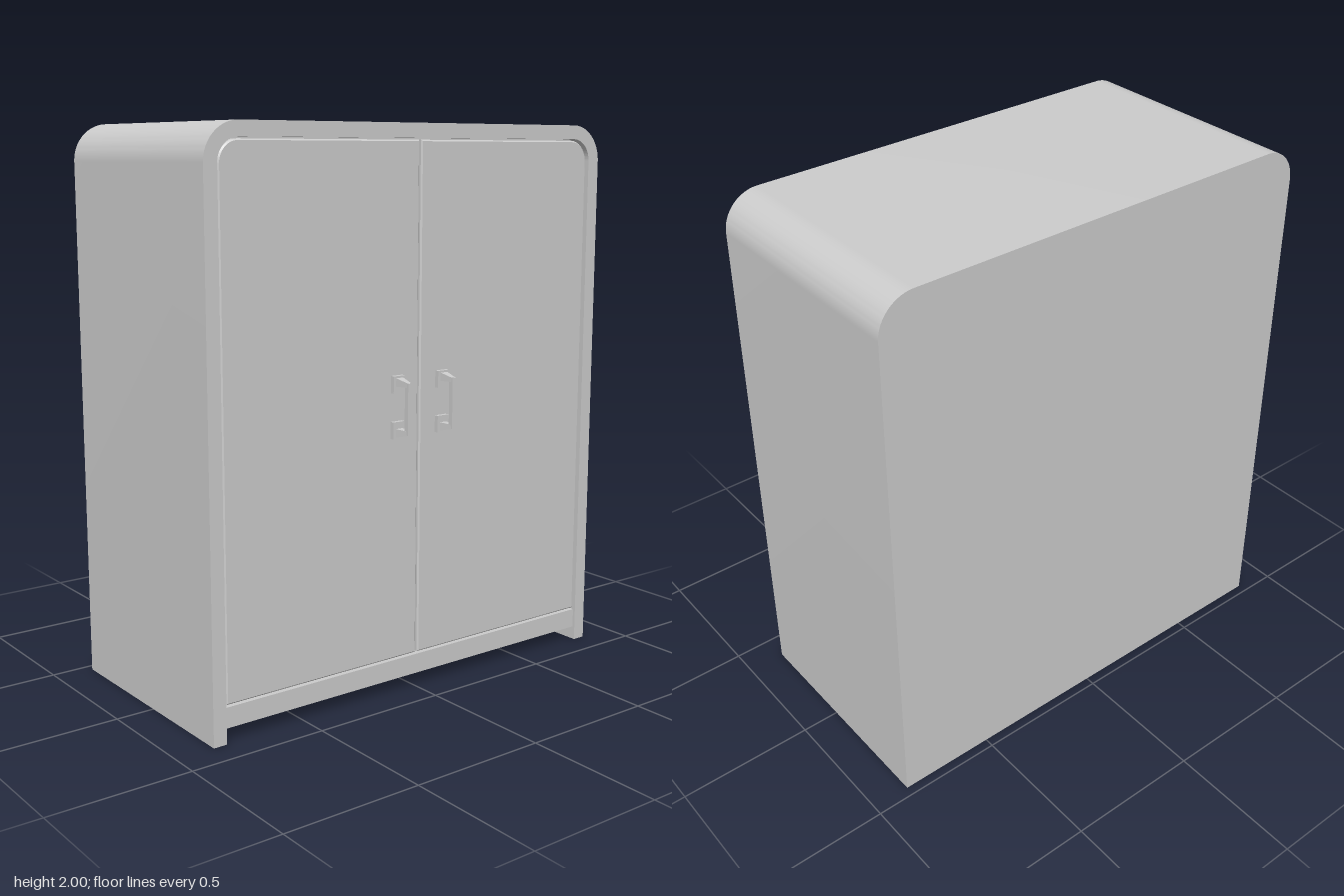
import * as THREE from 'three';
import { toCreasedNormals } from 'three/addons/utils/BufferGeometryUtils.js';

const material = new THREE.MeshStandardMaterial({ color: 0xcccccc });
const BACK = -0.465, FRONT = 0.4;

function add(parent, name, geometry) {
  const mesh = new THREE.Mesh(geometry, material);
  mesh.name = name;
  parent.add(mesh);
  return mesh;
}

// Box given by its limits on each axis
function box(parent, name, x0, x1, y0, y1, z0, z1) {
  const mesh = add(parent, name, new THREE.BoxGeometry(x1 - x0, y1 - y0, z1 - z0));
  mesh.position.set((x0 + x1) / 2, (y0 + y1) / 2, (z0 + z1) / 2);
  return mesh;
}

// Continue a path over an arch with rounded shoulders, from right foot to left foot
function archPath(shape, w, bottom, top, r) {
  shape.moveTo(w, bottom);
  shape.lineTo(w, top - r);
  shape.absarc(w - r, top - r, r, 0, Math.PI / 2, false);
  shape.lineTo(-w + r, top);
  shape.absarc(-w + r, top - r, r, Math.PI / 2, Math.PI, false);
  shape.lineTo(-w, bottom);
  return shape;
}

// Extrude a side-to-side profile along x, from x0 to x1
function extrudeX(shape, x0, x1, bevel = 0) {
  const geometry = new THREE.ExtrudeGeometry(shape, {
    depth: x1 - x0 - 2 * bevel,
    curveSegments: 12,
    bevelEnabled: bevel > 0,
    bevelThickness: bevel,
    bevelSize: bevel,
    bevelOffset: -bevel,
    bevelSegments: 1,
  });
  geometry.translate(0, 0, x0 + bevel);
  geometry.rotateY(Math.PI / 2);
  return toCreasedNormals(geometry, 0.5);
}

// Bow handle: two mounting plates, two tapering posts and a grip
function createHandle(z) {
  const handle = new THREE.Group();
  handle.name = 'handle';
  const yMid = 1.04;
  for (const s of [-1, 1]) {
    const y = yMid + s * 0.08;
    box(handle, 'handlePlate', 0.385, 0.408, y - 0.03, y + 0.03, -0.025, 0.025);
    const post = new THREE.CylinderGeometry(0.011, 0.021, 0.052, 4, 1);
    post.rotateY(Math.PI / 4);
    post.rotateZ(-Math.PI / 2);
    const mesh = add(handle, 'handlePost', toCreasedNormals(post, 0.5));
    mesh.position.set(0.434, yMid + s * 0.086, 0);
    mesh.rotation.z = -s * 0.1;
  }
  box(handle, 'handleGrip', 0.447, 0.465, yMid - 0.09, yMid + 0.09, -0.008, 0.008);
  handle.position.z = z;
  return handle;
}

export function createModel() {
  const cabinet = new THREE.Group();
  cabinet.name = 'cabinet';

  // Bent shell: sides and top in one piece with rounded shoulders
  const shell = archPath(new THREE.Shape(), 0.86, 0, 2, 0.13);
  shell.lineTo(-0.81, 0);
  shell.lineTo(-0.81, 1.87);
  shell.absarc(-0.73, 1.87, 0.08, Math.PI, Math.PI / 2, true);
  shell.lineTo(0.73, 1.95);
  shell.absarc(0.73, 1.87, 0.08, Math.PI / 2, 0, true);
  shell.lineTo(0.81, 0);
  add(cabinet, 'shell', extrudeX(shell, BACK, FRONT));

  // Back panel, and the board behind the doors that closes the gaps
  add(cabinet, 'backPanel', extrudeX(archPath(new THREE.Shape(), 0.81, 0, 1.95, 0.08), BACK, BACK + 0.04));
  add(cabinet, 'doorStop', extrudeX(archPath(new THREE.Shape(), 0.81, 0.11, 1.95, 0.08), 0.34, 0.36));

  // Floor with rails under its front and back edges
  box(cabinet, 'floor', BACK + 0.04, 0.36, 0.1, 0.125, -0.81, 0.81);
  box(cabinet, 'frontRail', 0.36, 0.39, 0.05, 0.122, -0.81, 0.81);
  box(cabinet, 'backRail', BACK + 0.04, -0.33, 0.05, 0.1, -0.81, 0.81);

  // Mirrored doors with one rounded top corner each, and their handles
  for (const s of [-1, 1]) {
    const door = new THREE.Shape();
    const inner = 0.004, outer = 0.803, r = 0.075, top = 1.944;
    door.moveTo(s * inner, 0.13);
    door.lineTo(s * outer, 0.13);
    door.lineTo(s * outer, top - r);
    const start = s > 0 ? 0 : Math.PI;
    door.absarc(s * (outer - r), top - r, r, start, Math.PI / 2, s < 0);
    door.lineTo(s * inner, top);
    add(cabinet, 'door', extrudeX(door, 0.362, 0.392, 0.005));
    cabinet.add(createHandle(s * 0.1));
  }
  return cabinet;
}
